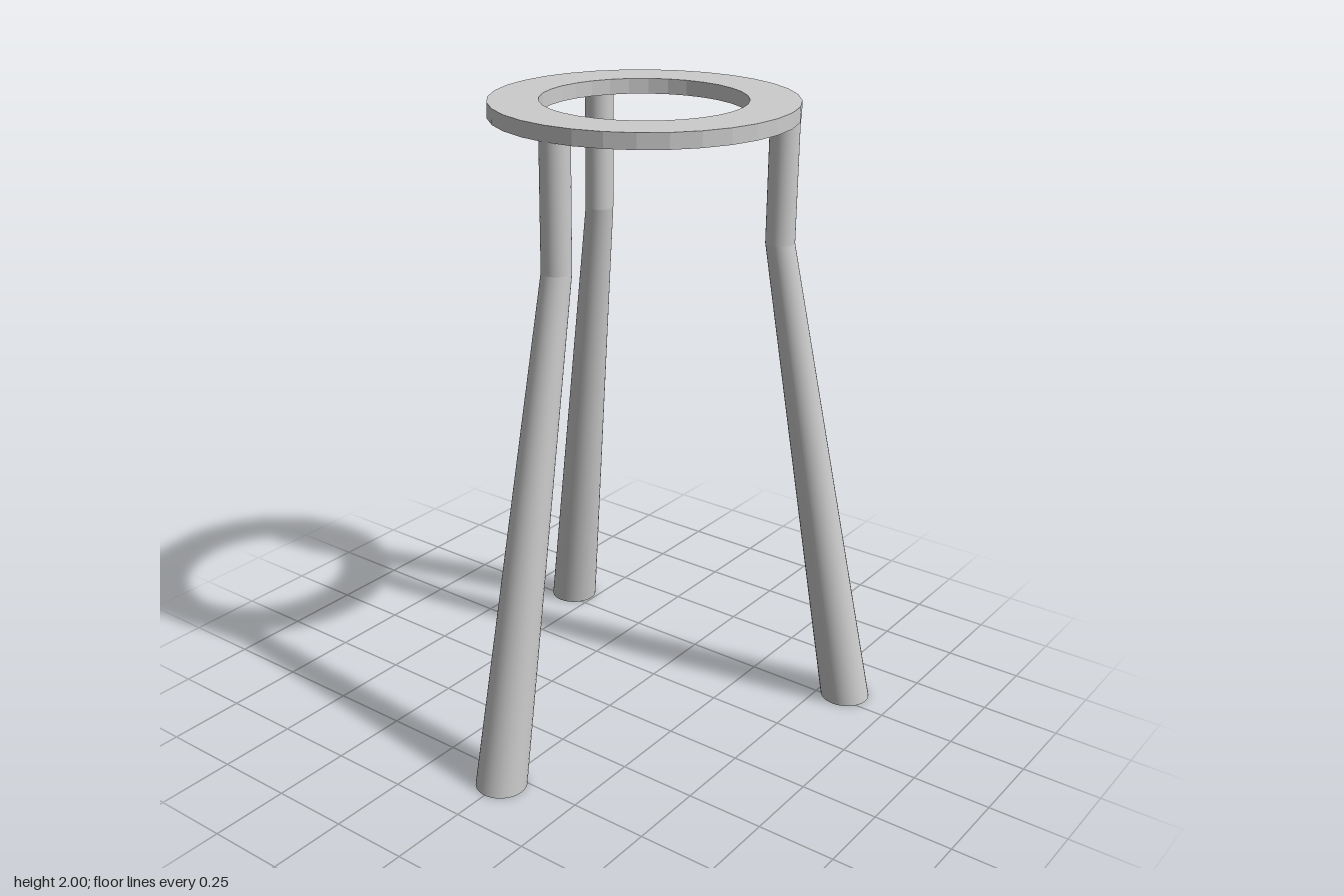
import * as THREE from 'three';

const CENTRE_X = 0.165, RING_BOTTOM = 1.953, ELBOW_Y = 1.57;
const LEG_R = 0.045, FOOT_R = 0.08;

const material = new THREE.MeshStandardMaterial({ color: 0xcccccc });
const flatMaterial = new THREE.MeshStandardMaterial({ color: 0xcccccc, flatShading: true });

// Round bar with level ends, sheared so its axis runs from bottom to top
function slantedBar(name, bottom, top, rBottom, rTop) {
  const h = top.y - bottom.y;
  const geo = new THREE.CylinderGeometry(rTop, rBottom, h, 32);
  geo.translate(0, h / 2, 0);
  const shear = new THREE.Matrix4().set(
    1, (top.x - bottom.x) / h, 0, bottom.x,
    0, 1, 0, bottom.y,
    0, (top.z - bottom.z) / h, 1, bottom.z,
    0, 0, 0, 1);
  geo.applyMatrix4(shear);
  const mesh = new THREE.Mesh(geo, material);
  mesh.name = name;
  return mesh;
}

// Leg: straight upper post, then a splayed lower part widening to the foot
function makeLeg(name, [topX, topZ], [footX, footZ]) {
  const leg = new THREE.Group();
  leg.name = name;
  const elbow = new THREE.Vector3(topX, ELBOW_Y, topZ);
  const top = new THREE.Vector3(topX, RING_BOTTOM, topZ);
  const foot = new THREE.Vector3(footX, 0, footZ);
  leg.add(slantedBar('upperLeg', elbow, top, LEG_R, LEG_R));
  leg.add(slantedBar('lowerLeg', foot, elbow, FOOT_R, LEG_R));
  return leg;
}

export function createModel() {
  const model = new THREE.Group();
  model.name = 'tripodStand';

  // Flat ring on top, a closed rectangular section turned round
  const section = [[0.31, RING_BOTTOM], [0.462, RING_BOTTOM], [0.462, 2], [0.31, 2], [0.31, RING_BOTTOM]]
    .map(([r, y]) => new THREE.Vector2(r, y));
  const ring = new THREE.Mesh(new THREE.LatheGeometry(section, 32), flatMaterial);
  ring.name = 'topRing';
  ring.position.x = CENTRE_X;
  model.add(ring);

  // One leg to the side, and a mirrored pair front and back
  model.add(makeLeg('sideLeg', [-0.25, 0], [-0.55, 0]));
  for (const s of [1, -1]) {
    model.add(makeLeg(s > 0 ? 'frontLeg' : 'backLeg', [0.395, s * 0.345], [0.543, s * 0.585]));
  }
  return model;
}
